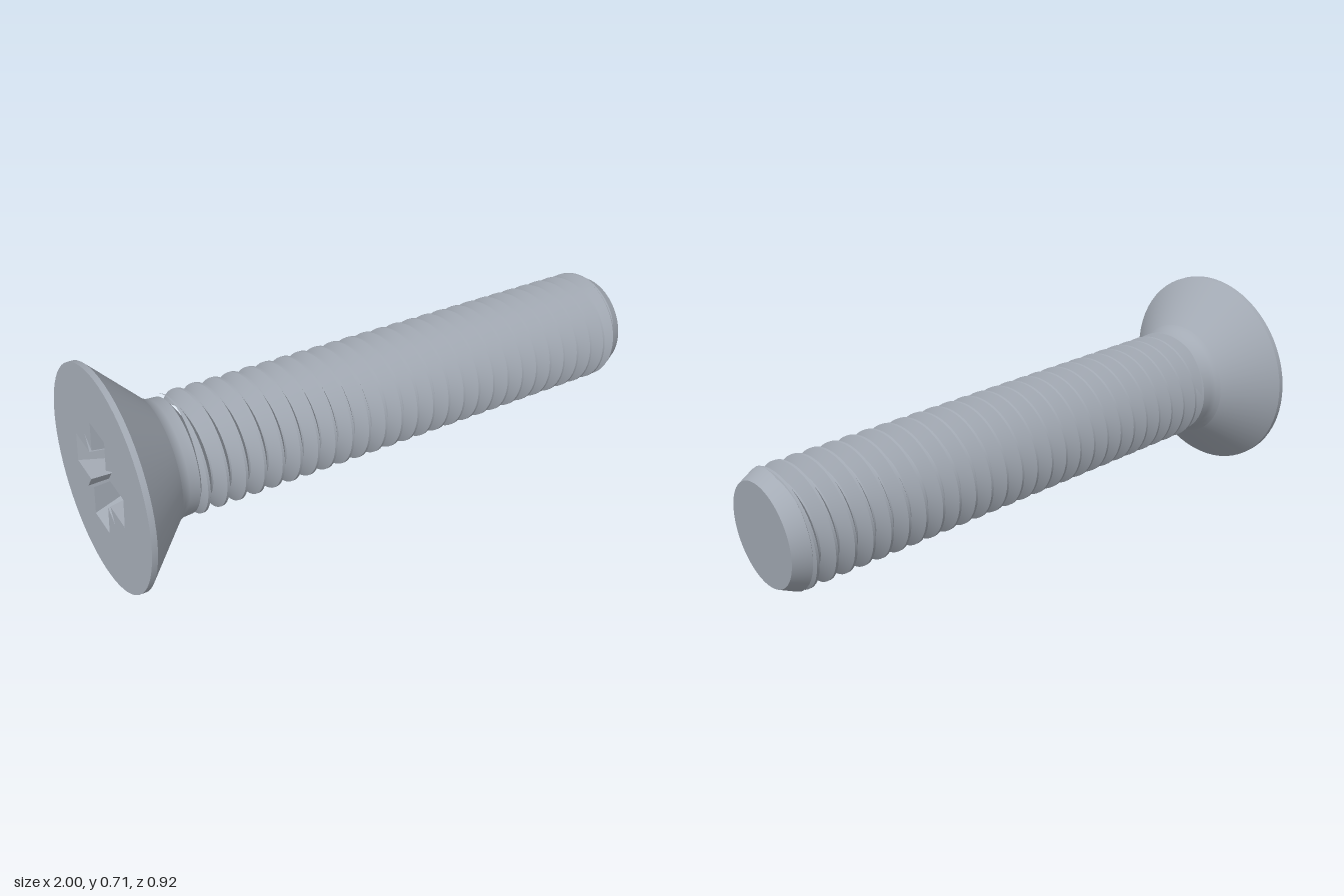
import * as THREE from 'three';
import { toCreasedNormals } from 'three/addons/utils/BufferGeometryUtils.js';

const LENGTH = 1.93, HEAD_R = 0.356, CREST = 0.194, ROOT = 0.151, PITCH = 0.063;
const SEG = 64;

const v2 = (list) => list.map(([x, y]) => new THREE.Vector2(x, y));

// Solid of revolution about the screw's axis (+y runs from head to tip)
const turned = (profile) => toCreasedNormals(new THREE.LatheGeometry(v2(profile), SEG), 0.5);

function indexed(positions, index) {
  const g = new THREE.BufferGeometry();
  g.setAttribute('position', new THREE.Float32BufferAttribute(positions, 3));
  g.setIndex(index);
  return g;
}

// Right-hand helical thread, clipped to flat ends
function threadGeometry(start, end) {
  const section = [[0, ROOT], [0.09, ROOT], [0.285, (ROOT + CREST) / 2], [0.48, CREST], [0.61, CREST], [0.805, (ROOT + CREST) / 2]];
  const knots = [...section, [1, ROOT]];
  const radiusAt = (phase) => {
    const u = phase - Math.floor(phase);
    const k = Math.max(1, knots.findIndex((p) => p[0] >= u));
    const [a, ra] = knots[k - 1], [b, rb] = knots[k];
    return ra + (rb - ra) * (u - a) / (b - a);
  };
  const turns = Math.ceil((end - start) / PITCH) + 1;
  const rows = turns * section.length;
  const positions = [], index = [];
  for (let j = 0; j <= rows; j++) {
    const lead = Math.floor(j / section.length) - 1 + section[j % section.length][0];
    for (let i = 0; i <= SEG; i++) {
      const f = i / SEG, a = f * Math.PI * 2;
      const t = THREE.MathUtils.clamp(start + PITCH * (lead + f), start, end);
      const r = radiusAt((t - start) / PITCH - f + 1e-7);
      positions.push(r * Math.sin(a), t, r * Math.cos(a));
      if (i < SEG && j < rows) {
        const p = j * (SEG + 1) + i, q = p + SEG + 1;
        index.push(p, p + 1, q + 1, p, q + 1, q);
      }
    }
  }
  return toCreasedNormals(indexed(positions, index), 0.6);
}

// Cross outline with a narrow diagonal notch in each inner corner
function crossOutline(arm, w, notch, s) {
  const points = [];
  for (let k = 0; k < 4; k++) {
    for (const p of v2([[arm, -w], [arm, w], [w + s, w], [notch, notch], [w, w + s]])) {
      points.push(p.rotateAround(new THREE.Vector2(), k * Math.PI / 2));
    }
  }
  return points;
}

// Tapering side walls of the drive recess
function recessWalls(top, bottom, depth) {
  const n = top.length, positions = [], index = [];
  top.forEach((p) => positions.push(p.x, p.y, 0));
  bottom.forEach((p) => positions.push(p.x, p.y, -depth));
  for (let i = 0; i < n; i++) {
    const j = (i + 1) % n;
    index.push(i, j, n + j, i, n + j, n + i);
  }
  return toCreasedNormals(indexed(positions, index), 0.2);
}

export function createModel() {
  const steel = new THREE.MeshStandardMaterial({ color: 0xa4abb5 });
  steel.name = 'steel grey';
  const model = new THREE.Group();
  model.name = 'countersunkScrew';
  const screw = new THREE.Group();
  screw.name = 'screw';
  model.add(screw);
  const add = (name, geometry) => {
    const mesh = new THREE.Mesh(geometry, steel);
    mesh.name = name;
    screw.add(mesh);
    return mesh;
  };

  // Countersunk head with a thin rim, and the plain neck below it
  add('head', turned([[HEAD_R, 0], [HEAD_R, 0.018], [0.206, 0.168]]));
  add('neck', turned([[0.206, 0.168], [0.194, 0.182], [0.187, 0.2], [0.185, 0.235], [0.145, 0.262]]));

  // Flat head face pierced by the drive recess
  const top = crossOutline(0.172, 0.052, 0.1, 0.018);
  const bottom = crossOutline(0.085, 0.04, 0.058, 0.008);
  const depth = 0.18;
  const face = new THREE.Shape().absarc(0, 0, HEAD_R, 0, Math.PI * 2, false);
  face.holes.push(new THREE.Path(top));
  add('headFace', new THREE.ShapeGeometry(face, SEG / 2).rotateX(Math.PI / 2));
  add('recessWalls', recessWalls(top, bottom, depth).rotateX(Math.PI / 2));
  add('recessFloor', new THREE.ShapeGeometry(new THREE.Shape(bottom)).rotateX(Math.PI / 2)).position.y = depth;

  // Threaded shank and chamfered tip
  add('thread', threadGeometry(0.24, LENGTH - 0.045));
  add('tip', turned([[ROOT, LENGTH - 0.078], [CREST - 0.002, LENGTH - 0.052], [0.166, LENGTH], [0, LENGTH]]));

  // Lay the screw down along its slanted axis
  const axis = new THREE.Vector3(0.975, -0.083, 0.206).normalize();
  const side = new THREE.Vector3(0, 1, 0).cross(axis).normalize();
  const normal = side.clone().cross(axis);
  screw.quaternion.setFromRotationMatrix(new THREE.Matrix4().makeBasis(side, axis, normal));
  screw.position.set(-0.92, 0.355, -0.117);
  return model;
}
